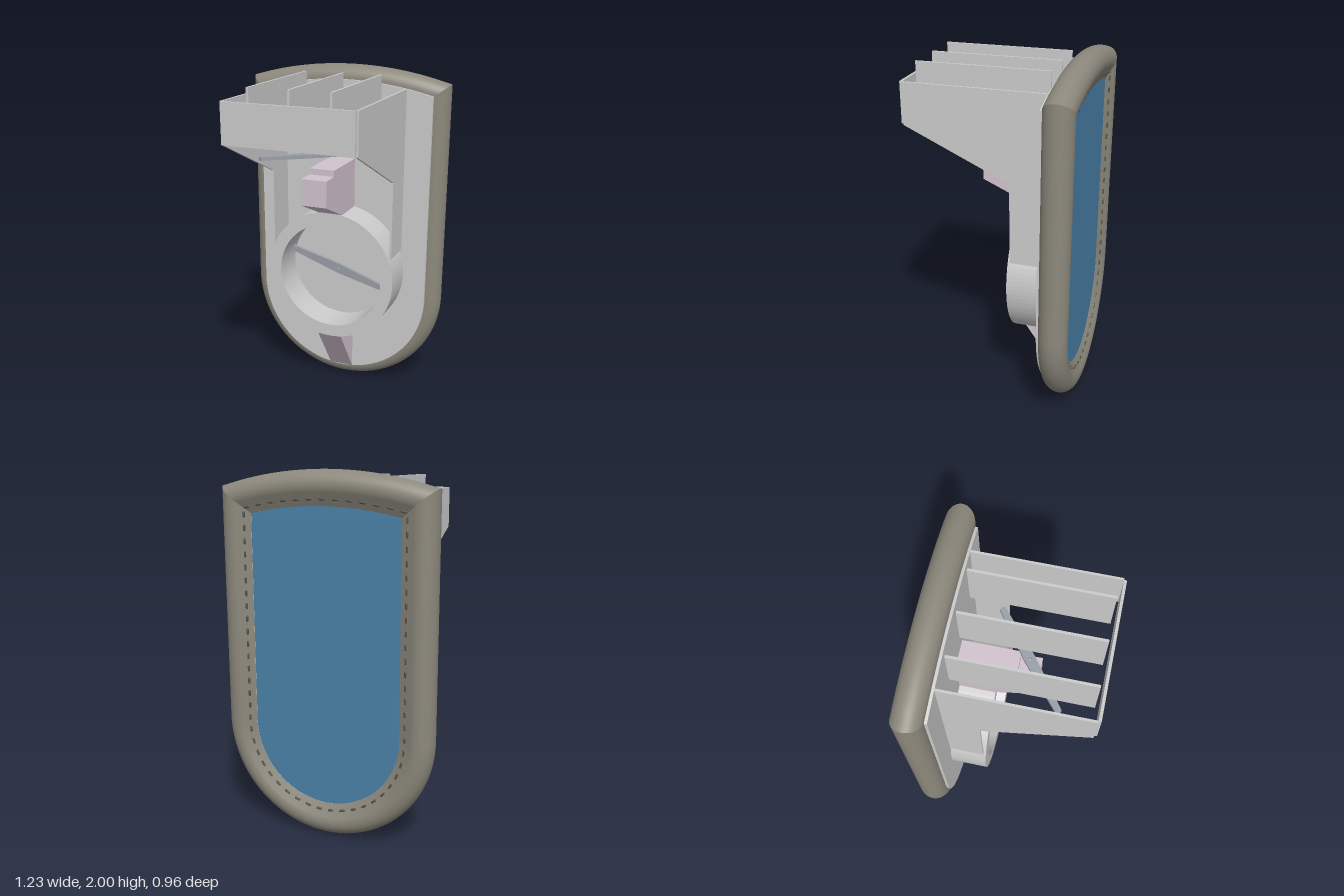
import * as THREE from 'three';

const paint = (color) => new THREE.MeshStandardMaterial({ color });
const V2 = (x, y) => new THREE.Vector2(x, y);

// Outline of the body: [x, y, normalX, normalY], counter-clockwise
const R = 0.535, LOW = 0.615, TOP_R = 2.065, TOP_Y = -0.145;
const lean = Math.asin(R / TOP_R);
const cornerY = TOP_Y + TOP_R * Math.cos(lean);
const mitreY = Math.cos(lean) / (1 + Math.sin(lean));

function sidesPath() {
  const p = [[-R, cornerY, -1, mitreY]];
  for (let i = 0; i <= 48; i++) {
    const a = Math.PI + (Math.PI * i) / 48;
    const c = Math.cos(a), s = Math.sin(a);
    p.push([R * c, LOW + R * s, c, s]);
  }
  p.push([R, cornerY, 1, mitreY]);
  return p;
}

function topPath() {
  const p = [];
  for (let i = 0; i <= 24; i++) {
    const a = lean * (1 - i / 12);
    const s = Math.sin(a), c = Math.cos(a);
    const end = i === 0 ? 1 : i === 24 ? -1 : 0;
    p.push([TOP_R * s, TOP_Y + TOP_R * c, end || s, end ? mitreY : c]);
  }
  return p;
}

const offset = (path, d) => path.map(([x, y, nx, ny]) => V2(x + nx * d, y + ny * d));

// Sweep a section of [outward, z] points along a path with mitred ends
function sweep(path, section) {
  const pos = [], idx = [], n = section.length;
  for (const [x, y, nx, ny] of path)
    for (const [u, z] of section) pos.push(x + nx * u, y + ny * u, z);
  for (let i = 0; i < path.length - 1; i++)
    for (let j = 0; j < n - 1; j++) {
      const a = i * n + j, b = a + n;
      idx.push(a, b, b + 1, a, b + 1, a + 1);
    }
  const g = new THREE.BufferGeometry();
  g.setAttribute('position', new THREE.Float32BufferAttribute(pos, 3));
  g.setIndex(idx);
  g.computeVertexNormals();
  return g;
}

// Extrude a shape from z0 to z1
function slab(shape, z0, z1) {
  const g = new THREE.ExtrudeGeometry(shape, { depth: z1 - z0, bevelEnabled: false, curveSegments: 48 });
  return g.translate(0, 0, z0);
}

// Extrude a [z, y] side profile to a width centred on x
function profile(points, x, width) {
  const g = slab(new THREE.Shape(points.map(([z, y]) => V2(z, y))), -width / 2, width / 2);
  return g.rotateY(-Math.PI / 2).translate(x, 0, 0);
}

// Tapered pointer with a pivot hole, lying in xy
function pointerGeometry() {
  const s = new THREE.Shape();
  s.moveTo(-0.32, -0.016);
  s.lineTo(0, -0.03);
  s.lineTo(0.32, -0.016);
  s.quadraticCurveTo(0.335, 0, 0.32, 0.016);
  s.lineTo(0, 0.03);
  s.lineTo(-0.32, 0.016);
  s.quadraticCurveTo(-0.335, 0, -0.32, -0.016);
  const hole = new THREE.Path();
  hole.absarc(0, 0, 0.008, 0, Math.PI * 2, true);
  s.holes.push(hole);
  return slab(s, -0.01, 0.01);
}

export function createModel() {
  const root = new THREE.Group();
  const grey = paint(0xcccccc), rimMat = paint(0x8c887c), pink = paint(0xd2c3cf);
  const blue = paint(0x4a82a8), dark = paint(0x55534c), steel = paint(0x9a9fa6);
  const add = (name, geometry, material, parent = root) => {
    const m = new THREE.Mesh(geometry, material);
    m.name = name;
    parent.add(m);
    return m;
  };
  const paths = [sidesPath(), topPath()];
  const outline = (d) => new THREE.Shape(paths.flatMap((p, i) => offset(i ? p.slice(1, -1) : p, d)));

  // Padded rim: round tube with a flat lip sloping in to the back panel
  const section = [[-0.105, -0.44]];
  for (let i = 0; i <= 28; i++) {
    const a = THREE.MathUtils.degToRad(-114.6 + (i / 28) * 204.6);
    section.push([0.08 * Math.cos(a), -0.4 + 0.08 * Math.sin(a)]);
  }
  const rim = new THREE.Group();
  rim.name = 'rim';
  root.add(rim);
  paths.forEach((p, i) => {
    const m = add(i ? 'rimTop' : 'rimSides', sweep(p, section), rimMat, rim);
    m.material.side = THREE.DoubleSide;
  });

  // Row of small slots along the lip
  const slots = new THREE.Group();
  slots.name = 'rimSlots';
  root.add(slots);
  const slotGeo = new THREE.CapsuleGeometry(0.007, 0.022, 3, 8);
  paths.forEach((p, k) => {
    const line = new THREE.Path(offset(p, -0.069));
    const count = k ? 13 : 54;
    for (let i = 0; i < count; i++) {
      const t = (i + 0.5) / count;
      const q = line.getPointAt(t), d = line.getTangentAt(t);
      const along = new THREE.Vector3(d.x, d.y, 0);
      const across = new THREE.Vector3(d.y * 0.909, -d.x * 0.909, -0.417);
      const slot = add('slot', slotGeo, dark, slots);
      slot.quaternion.setFromRotationMatrix(
        new THREE.Matrix4().makeBasis(across, along, across.clone().cross(along)));
      slot.position.set(q.x, q.y, -0.455);
    }
  });

  // Front plate and back panel
  add('frontPlate', slab(outline(0), -0.32, -0.305), grey);
  add('backPanel', slab(outline(-0.105), -0.438, -0.325), blue);

  // Dial housing ring
  const ring = new THREE.Shape().absarc(0, 0.775, 0.397, 0, Math.PI * 2);
  ring.holes.push(new THREE.Path().absarc(0, 0.775, 0.323, 0, Math.PI * 2, true));
  add('dialRing', slab(ring, -0.31, -0.097), grey);

  // Pointers: one upright in the dial, one lying flat under the canopy
  const dialPointer = add('dialPointer', pointerGeometry(), steel);
  dialPointer.position.set(0, 0.775, -0.245);
  dialPointer.rotation.z = -0.3;
  const flatPointer = add('flatPointer', pointerGeometry().rotateX(-Math.PI / 2), steel);
  flatPointer.position.set(0, 1.555, 0.077);
  flatPointer.rotation.y = 0.665;

  // Canopy: side brackets, front board and upright fins
  const bracket = [[-0.305, 0.93], [-0.11, 0.93], [-0.11, 1.39], [0.465, 1.655], [0.465, 1.885], [-0.305, 1.885]];
  for (const s of [-1, 1]) add('sideBracket', profile(bracket, s * 0.374, 0.013), grey);
  add('canopyFront', new THREE.BoxGeometry(0.74, 0.227, 0.015).translate(0, 1.7715, 0.4725), grey);
  for (const x of [-0.23, 0, 0.23])
    add('canopyFin', new THREE.BoxGeometry(0.014, 0.28, 0.73).translate(x, 1.82, 0.08), grey);

  // Support blocks above and below the dial
  add('upperBlock', profile([[-0.305, 1.165], [-0.105, 1.165], [0.135, 1.272], [0.135, 1.425],
    [0.02, 1.425], [0.02, 1.46], [-0.305, 1.46]], 0, 0.15), pink);
  add('lowerWedge', profile([[-0.305, 0.085], [-0.1, 0.38], [-0.1, 0.39], [-0.305, 0.39]], 0, 0.15), pink);

  return root;
}
